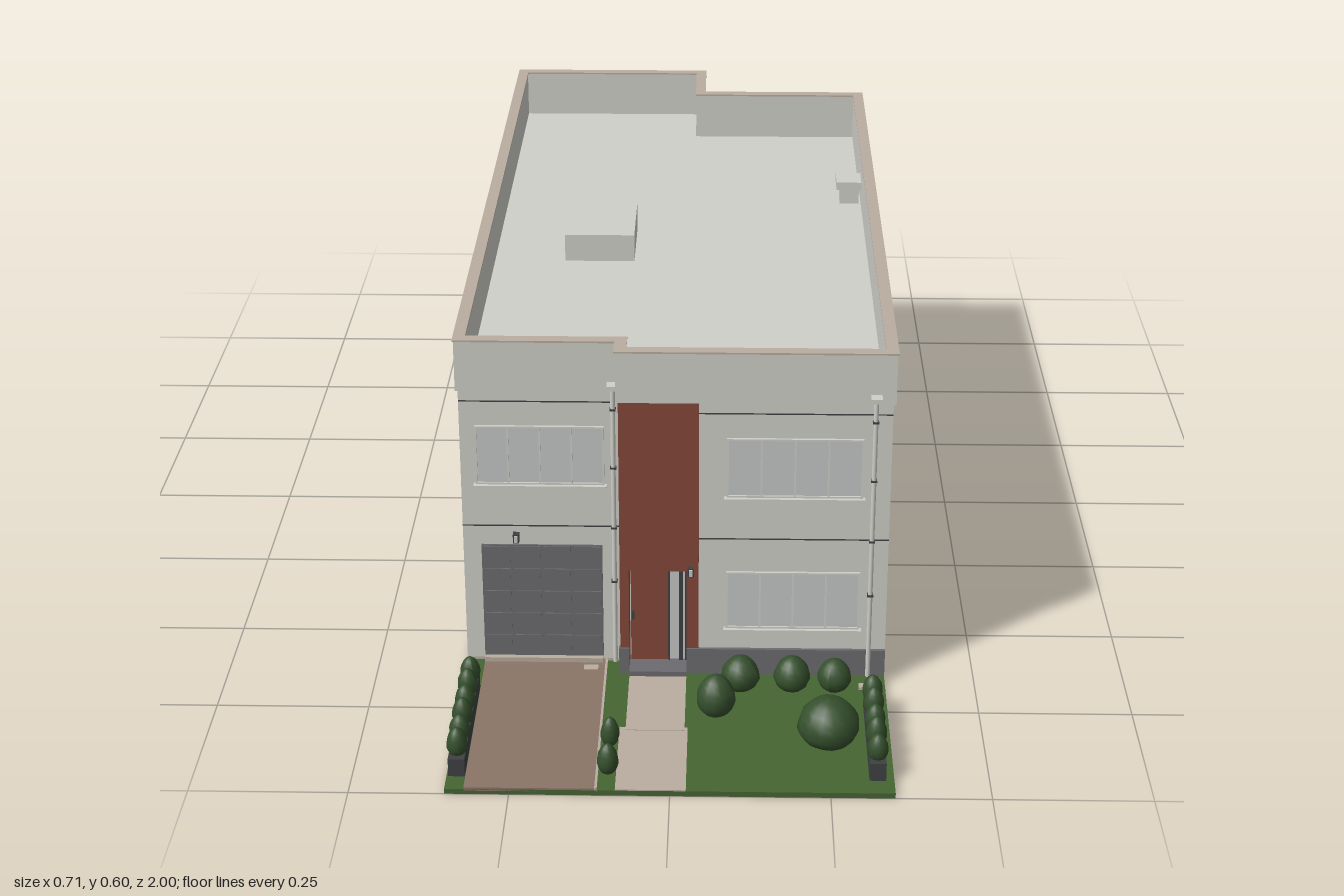
import * as THREE from 'three';

const mat = (name, color) => Object.assign(new THREE.MeshStandardMaterial({ color }), { name });

export function createModel() {
  const root = new THREE.Group();
  root.name = 'townhouse';
  const wall = mat('pale render', 0xd0d0ca), glass = mat('pale glass', 0xc4c8c6);
  const brick = mat('red brick', 0x85493a), grey = mat('garage grey', 0x6c6c70);
  const dark = mat('dark metal', 0x3f4143), paving = mat('paving', 0xb9ad9f);
  const drive = mat('driveway pavers', 0x8a7567), grass = mat('grass', 0x466532);
  const leaf = mat('foliage', 0x35502d);

  const add = (name, geo, m, parent = root) => {
    const mesh = new THREE.Mesh(geo, m);
    mesh.name = name;
    parent.add(mesh);
    return mesh;
  };
  // Box from its minimum and maximum corners
  const box = (name, m, x0, x1, y0, y1, z0, z1, parent = root) => {
    const mesh = add(name, new THREE.BoxGeometry(x1 - x0, y1 - y0, z1 - z0), m, parent);
    mesh.position.set((x0 + x1) / 2, (y0 + y1) / 2, (z0 + z1) / 2);
    return mesh;
  };
  // Group whose local +z points out of a wall
  const onWall = (name, x, z, turn) => {
    const g = new THREE.Group();
    g.name = name;
    g.position.set(x, 0, z);
    g.rotation.y = turn;
    root.add(g);
    return g;
  };

  // Footprint outlines, as [x, -z]
  const outline = [[-.35, -.61], [-.09, -.61], [-.09, -.65], [.35, -.65], [.35, .65], [.03, .65], [.03, .79], [-.35, .79]];
  const bodyPlan = [[-.35, -.61], [.04, -.61], [.04, -.65], ...outline.slice(3)];
  const offset = (pts, d) => pts.map((p, i) => {
    const a = pts[(i + pts.length - 1) % pts.length], b = pts[(i + 1) % pts.length];
    return [p[0] + d * (Math.sign(p[1] - a[1]) + Math.sign(b[1] - p[1])),
      p[1] - d * (Math.sign(p[0] - a[0]) + Math.sign(b[0] - p[0]))];
  });
  const toVecs = pts => pts.map(p => new THREE.Vector2(...p));
  const slab = (name, m, pts, y0, y1, hole) => {
    const s = new THREE.Shape(toVecs(pts));
    if (hole) s.holes.push(new THREE.Path(toVecs(hole)));
    const mesh = add(name, new THREE.ExtrudeGeometry(s, { depth: y1 - y0, bevelEnabled: false }), m);
    mesh.rotation.x = -Math.PI / 2;
    mesh.position.y = y0;
  };

  // Main shell, parapet and coping
  slab('foundation', paving, outline, 0, .014);
  slab('walls', wall, bodyPlan, .014, .51);
  slab('parapet', wall, offset(outline, .004), .51, .597, offset(outline, -.013));
  slab('coping', paving, offset(outline, .006), .597, .6, offset(outline, -.014));
  box('roofHatch', wall, -.21, -.085, .51, .56, -.11, .05);
  box('roofVentBase', wall, .297, .333, .51, .54, -.292, -.253);
  box('roofVentCap', wall, .29, .34, .54, .555, -.3, -.245);

  // Brick entrance bay with a recessed door
  const bay = new THREE.Shape(toVecs([[-.09, .014], [-.075, .014], [-.075, .205], [.02, .205], [.02, .014], [.04, .014], [.04, .51], [-.09, .51]]));
  add('brickBay', new THREE.ExtrudeGeometry(bay, { depth: .043, bevelEnabled: false }), brick).position.z = .61;
  box('doorStep', grey, -.075, .02, .01, .021, .61, .665);
  box('frontDoor', brick, -.073, -.011, .021, .203, .61, .624);
  box('doorHandle', dark, -.071, -.067, .1, .115, .624, .629);
  box('sidelight', glass, -.01, .02, .021, .205, .61, .622);
  [-.011, .007, .017].forEach((x, i) => box('sidelightFrame', dark, x, x + (i === 1 ? .007 : .003), .021, .205, .612, .627));
  for (const [a, b] of [[-.092, -.075], [.02, .35]]) box('plinth', grey, a, b, .012, .06, .645, .656);

  // Garage door with raised panels
  box('garageDoor', grey, -.32, -.12, .02, .23, .607, .613);
  for (let i = 0; i < 4; i++) for (let j = 0; j < 5; j++)
    box('garagePanel', grey, -.317 + i * .05, -.273 + i * .05, .024 + j * .042, .06 + j * .042, .612, .615);
  box('garageThreshold', paving, -.32, -.12, .012, .02, .6, .622);

  // Windows: thin panes, frame, mullions and sill
  const faces = {
    frontLeft: onWall('garageWall', 0, .61, 0), frontRight: onWall('frontWall', 0, .65, 0),
    back: onWall('rearWall', 0, -.79, Math.PI), recess: onWall('rearRecess', 0, -.65, Math.PI),
    side: onWall('returnWall', .03, 0, Math.PI / 2),
  };
  const windowAt = (g, x0, x1, y0, y1, panes, pane = glass) => {
    const t = .003;
    box('windowPane', pane, x0, x1, y0, y1, -.002, .002, g);
    for (let i = 0; i <= panes; i++) {
      const x = x0 + (x1 - x0 - t) * i / panes;
      box('windowMullion', wall, x, x + t, y0, y1, 0, .005, g);
    }
    for (const y of [y0, y1 - t]) box('windowRail', wall, x0, x1, y, y + t, 0, .005, g);
    box('windowSill', wall, x0 - .004, x1 + .004, y0 - .004, y0, 0, .011, g);
  };
  windowAt(faces.frontLeft, -.325, -.115, .343, .448, 4);
  for (const y of [.343, .1]) {
    windowAt(faces.frontRight, .085, .305, y, y + .105, 4);
    windowAt(faces.side, .69, .77, y, y + .105, 1);
  }
  windowAt(faces.back, .02, .295, .343, .448, 4);
  windowAt(faces.back, 0, .11, .07, .18, 2);
  windowAt(faces.recess, -.165, -.06, .4, .448, 2);
  windowAt(faces.recess, -.22, -.12, .1, .205, 2, dark);

  // Rear doors
  for (const [g, x0, x1] of [[faces.back, .22, .32], [faces.recess, -.31, -.24]]) {
    box('rearDoorFrame', wall, x0, x1, .014, .205, 0, .004, g);
    box('rearDoor', glass, x0 + .006, x1 - .006, .018, .199, .002, .006, g);
    box('rearDoorHandle', dark, x0 + .01, x0 + .014, .1, .112, .005, .01, g);
  }

  // Shadow-gap bands at the floor lines
  const spans = [[faces.frontLeft, -.35, -.09], [faces.frontRight, .04, .35], [faces.back, -.03, .35], [faces.recess, -.35, -.03], [faces.side, .65, .79]];
  for (const [g, a, b] of spans) for (const y of [.265, .491])
    box('floorBand', dark, a, b, y - .001, y + .001, 0, .001, g);

  // Wall lamps
  for (const [g, x, y] of [[faces.frontLeft, -.262, .245], [faces.frontRight, .027, .206], [faces.back, .335, .205], [faces.recess, -.325, .205]]) {
    box('lampBody', dark, x - .005, x + .005, y - .008, y + .008, 0, .011, g);
    box('lampLens', glass, x - .003, x + .003, y - .006, y + .006, .01, .013, g);
  }

  // Downpipes with rainwater heads and clips
  const downpipe = (x, z, s) => {
    add('downpipe', new THREE.CylinderGeometry(.004, .004, .505, 10), wall).position.set(x, .265, z);
    box('rainHead', wall, x - .009, x + .009, .52, .528, z - .004, z + .004 + (s > 0 ? .012 : 0)).position.z = z + s * .006;
    for (const y of [.165, .265, .375, .48]) box('pipeClip', dark, x - .005, x + .005, y, y + .003, z - .005, z + .005);
  };
  downpipe(-.1, .617, 1);
  downpipe(.322, .657, 1);
  downpipe(.015, -.797, -1);

  // Ground
  box('frontLawnLeft', grass, -.35, -.09, 0, .009, .61, 1);
  box('frontLawnRight', grass, -.09, .35, 0, .009, .65, 1);
  box('rearLawn', grass, -.35, .35, 0, .009, -1, -.79);
  box('driveway', drive, -.32, -.115, .006, .012, .611, 1);
  box('drivewayEdge', paving, -.117, -.113, .006, .013, .611, 1);
  box('entrancePath', paving, -.075, .02, .005, .012, .65, .83);
  box('frontPath', paving, -.085, .025, .005, .011, .82, 1);
  box('rearPath', paving, -.35, .03, .005, .012, -.87, -.79);
  box('patio', paving, .03, .35, 0, .012, -.79, -.65);
  for (const [x, z, w] of [[.15, -.854, .02], [.15, -.815, .02], [.25, -.825, .014], [-.14, .64, .012], [.318, .69, .012]])
    box('steppingStone', paving, x - w, x + w, .006, .014, z - w * .6, z + w * .6);

  // Bushes: egg shapes with a gently lumpy surface
  const bushGeo = new THREE.SphereGeometry(1, 14, 10);
  const p = bushGeo.attributes.position;
  for (let i = 0; i < p.count; i++) {
    const x = p.getX(i), y = p.getY(i), z = p.getZ(i);
    const k = (1 - .14 * y) * (1 + .04 * Math.sin(7 * x + 2) * Math.cos(6 * z + 5 * y));
    p.setXYZ(i, x * k, y, z * k);
  }
  bushGeo.computeVertexNormals();
  const bush = (x, z, r, top, base = .008) => {
    const b = add('bush', bushGeo, leaf);
    b.scale.set(r, (top - base) / 2, r);
    b.position.set(x, (top + base) / 2, z);
    b.rotation.y = x * 31 + z * 17;
  };
  const shrubs = [
    [.11, .695, .032, .07], [.195, .695, .03, .07], [.265, .695, .028, .066], [.07, .775, .032, .082], [.25, .86, .05, .093],
    [-.098, .87, .015, .06], [-.098, .95, .017, .062],
    [-.3, -.955, .036, .08], [-.2, -.96, .036, .08], [-.1, -.95, .033, .078], [-.09, -.91, .037, .085],
    [0, -.955, .031, .075], [.15, -.97, .028, .07], [.28, -.945, .04, .085], [.285, -.9, .058, .095]];
  for (const s of shrubs) bush(...s);

  // Planter boxes with hedge plants
  const planter = (x, z0, z1, n) => {
    box('planter', dark, x - .013, x + .013, .008, .04, z0, z1);
    for (let i = 0; i < n; i++) bush(x, z0 + (z1 - z0) * (i + .5) / n, .0165, .08 + .004 * (i % 2), .033);
  };
  planter(-.334, .7, .965, 6);
  planter(.324, .745, .965, 5);
  planter(.324, -.925, -.81, 3);

  // Potted topiary on the patio
  add('plantPot', new THREE.CylinderGeometry(.014, .011, .025, 12), dark).position.set(.062, .024, -.755);
  bush(.062, -.755, .018, .092, .033);

  // Slatted garden table with benches
  const table = new THREE.Group();
  table.name = 'gardenTable';
  root.add(table);
  for (let i = 0; i < 5; i++) box('tableSlat', grey, .09, .215, .05, .054, -.925 + i * .0095, -.918 + i * .0095, table);
  for (const x of [.1, .2]) {
    box('tableRail', dark, x, x + .005, .046, .05, -.925, -.88, table);
    for (const z of [-.922, -.887]) box('tableLeg', dark, x, x + .005, .008, .047, z, z + .005, table);
  }
  return root;
}
